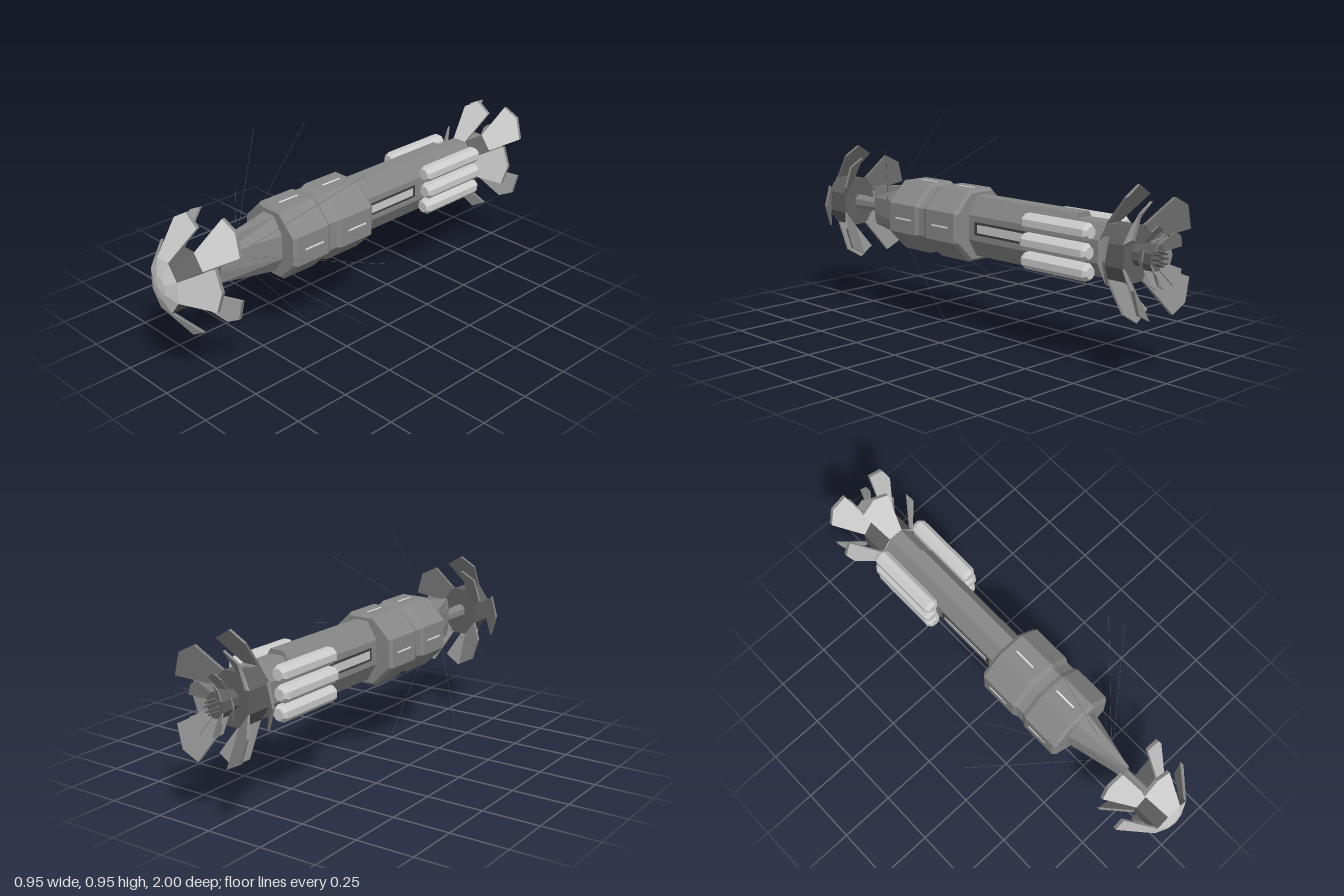
import * as THREE from 'three';

const CY = 0.477; // height of the long axis
const STEP = Math.PI / 4;

const mat = (name, color) => {
  const m = new THREE.MeshStandardMaterial({ color });
  m.name = name;
  return m;
};

// Point on an ellipse around the long axis
const pt = (a, rx, ry, z) => [Math.cos(a) * rx, Math.sin(a) * ry, z];

// Unshared corners, so every face gets its own flat normal
function fromTriangles(tris) {
  const g = new THREE.BufferGeometry();
  g.setAttribute('position', new THREE.Float32BufferAttribute(tris.flat(2), 3));
  g.computeVertexNormals();
  return g;
}

// Closed eight-sided loft; rings [z, rx, ry] run from front to back
function octLoft(rings) {
  const tris = [];
  const p = (r, i) => pt((i - 0.5) * STEP, r[1], r[2] ?? r[1], r[0]);
  const first = rings[0], last = rings[rings.length - 1];
  for (let i = 0; i < 8; i++) {
    for (let k = 0; k + 1 < rings.length; k++) {
      const a = rings[k], b = rings[k + 1];
      tris.push([p(a, i), p(b, i), p(b, i + 1)], [p(a, i), p(b, i + 1), p(a, i + 1)]);
    }
    tris.push([[0, 0, first[0]], p(first, i), p(first, i + 1)]);
    tris.push([[0, 0, last[0]], p(last, i + 1), p(last, i)]);
  }
  return fromTriangles(tris);
}

// Gives a run of vertices one shared normal, so the run shades as one face
function unifyNormals(g, start, count) {
  const n = g.attributes.normal, sum = new THREE.Vector3(), v = new THREE.Vector3();
  for (let i = start; i < start + count; i++) sum.add(v.fromBufferAttribute(n, i));
  sum.normalize();
  for (let i = start; i < start + count; i++) n.setXYZ(i, sum.x, sum.y, sum.z);
}

// Five-cornered plate flaring outward and backward from a ring at z
function petalGeometry(a, z) {
  const h = STEP / 2;
  const front = [
    pt(a - h, 0.09, 0.119, z),
    pt(a - h, 0.184, 0.246, z - 0.113),
    pt(a, 0.2, 0.27, z - 0.118),
    pt(a + h, 0.184, 0.246, z - 0.113),
    pt(a + h, 0.09, 0.119, z),
  ];
  const back = front.map(([x, y, w]) => [x, y, w - 0.014]);
  const fan = [[0, 1, 2], [0, 2, 4], [2, 3, 4]];
  const tris = [
    ...fan.map(([i, j, k]) => [front[i], front[j], front[k]]),
    ...fan.map(([i, j, k]) => [back[i], back[k], back[j]]),
  ];
  for (let i = 0; i < 5; i++) {
    const j = (i + 1) % 5;
    tris.push([front[i], back[i], back[j]], [front[i], back[j], front[j]]);
  }
  const g = fromTriangles(tris);
  unifyNormals(g, 0, 9);
  unifyNormals(g, 9, 9);
  g.addGroup(0, 9, 0); // front face
  g.addGroup(9, tris.length * 3 - 9, 1); // back and rim
  return g;
}

export function createModel() {
  const model = new THREE.Group();
  const ship = new THREE.Group();
  ship.name = 'ship';
  ship.position.y = CY;
  model.add(ship);

  const hullGrey = mat('hull grey', 0x888888);
  const paleGrey = mat('pale grey', 0xcccccc);
  const engineGrey = mat('engine grey', 0x606060);
  const dark = mat('dark trim', 0x404040);
  const white = mat('white marking', 0xffffff);

  const add = (name, geo, material, parent = ship) => {
    const m = new THREE.Mesh(geo, material);
    m.name = name;
    parent.add(m);
    return m;
  };
  const box = (name, size, pos, material) =>
    add(name, new THREE.BoxGeometry(...size), material).position.set(...pos);

  // Shield head with two staggered rows of petals, nose at z = 0
  const shield = (name, z, scale, face) => {
    const g = new THREE.Group();
    g.name = name;
    g.position.z = z;
    g.scale.setScalar(scale);
    ship.add(g);
    add('shieldNose', octLoft([
      [0, 0.001], [-0.006, 0.038, 0.05], [-0.03, 0.09, 0.119],
    ]), face, g);
    add('shieldCore', octLoft([[-0.031, 0.09, 0.119], [-0.155, 0.09, 0.119]]), engineGrey, g);
    for (let i = 0; i < 8; i++) {
      add('petal', petalGeometry(i * STEP, i % 2 ? -0.15 : -0.03), [face, hullGrey], g);
    }
  };
  shield('frontShield', 1, 1, paleGrey);
  shield('rearShield', -0.69, 1, paleGrey);
  shield('exhaustShield', -0.868, 0.46, hullGrey);

  // Main hull
  add('neck', octLoft([[0.85, 0.026, 0.036], [0.7, 0.016, 0.03]]), hullGrey);
  add('noseWedge', octLoft([[0.71, 0.016, 0.097], [0.43, 0.086, 0.137]]), hullGrey);
  add('fuselage', octLoft([[0.1, 0.085, 0.141], [-0.575, 0.085, 0.141]]), hullGrey);
  add('rearHull', octLoft([[-0.5, 0.084, 0.119], [-0.84, 0.084, 0.119]]), hullGrey);
  add('collar', octLoft([
    [0.445, 0.155], [0.43, 0.168], [0.265, 0.168], [0.245, 0.158],
    [0.21, 0.158], [0.19, 0.168], [0.015, 0.168], [0, 0.155],
  ]), hullGrey);

  // White dashes on the collar
  for (let i = 0; i < 4; i++) {
    const a = i * Math.PI / 2;
    for (const z of [0.1, 0.34]) {
      const dash = add('collarDash', new THREE.BoxGeometry(0.004, 0.007, 0.1), white);
      dash.position.set(Math.cos(a) * 0.1555, Math.sin(a) * 0.1555, z);
      dash.rotation.z = a;
    }
  }

  for (const s of [-1, 1]) {
    // Side bay: dark frame around a pale panel
    box('bayFrame', [0.006, 0.056, 0.295], [s * 0.0785, 0, -0.187], dark);
    box('bayPanel', [0.006, 0.036, 0.265], [s * 0.0795, 0, -0.187], paleGrey);

    // Three stacked tanks with bevelled ends
    for (const row of [-1, 0, 1]) {
      const tank = add('tank', octLoft([
        [0.175, 0.025], [0.158, 0.037], [-0.158, 0.037], [-0.175, 0.025],
      ]), paleGrey);
      tank.position.set(s * (row ? 0.108 : 0.116), row * 0.079, -0.532);
    }
  }

  // Swept antennas
  for (let i = 0; i < 8; i++) {
    const a = i * STEP;
    const path = new THREE.LineCurve3(
      new THREE.Vector3(...pt(a, 0.03, 0.03, 0.605)),
      new THREE.Vector3(...pt(a, 0.476, 0.476, 0.235)));
    add('antenna', new THREE.TubeGeometry(path, 1, 0.0007, 4), engineGrey);
  }

  // Exhaust shaft and ring of small nozzles
  add('exhaustShaft', octLoft([[-0.83, 0.038, 0.045], [-0.93, 0.03, 0.036]]), engineGrey);
  for (let i = 0; i < 8; i++) {
    const nozzle = add('nozzle', new THREE.CylinderGeometry(0.004, 0.007, 0.04, 6), engineGrey);
    nozzle.rotation.x = -Math.PI / 2;
    nozzle.position.set(...pt(i * STEP, 0.022, 0.026, -0.955));
  }
  return model;
}
